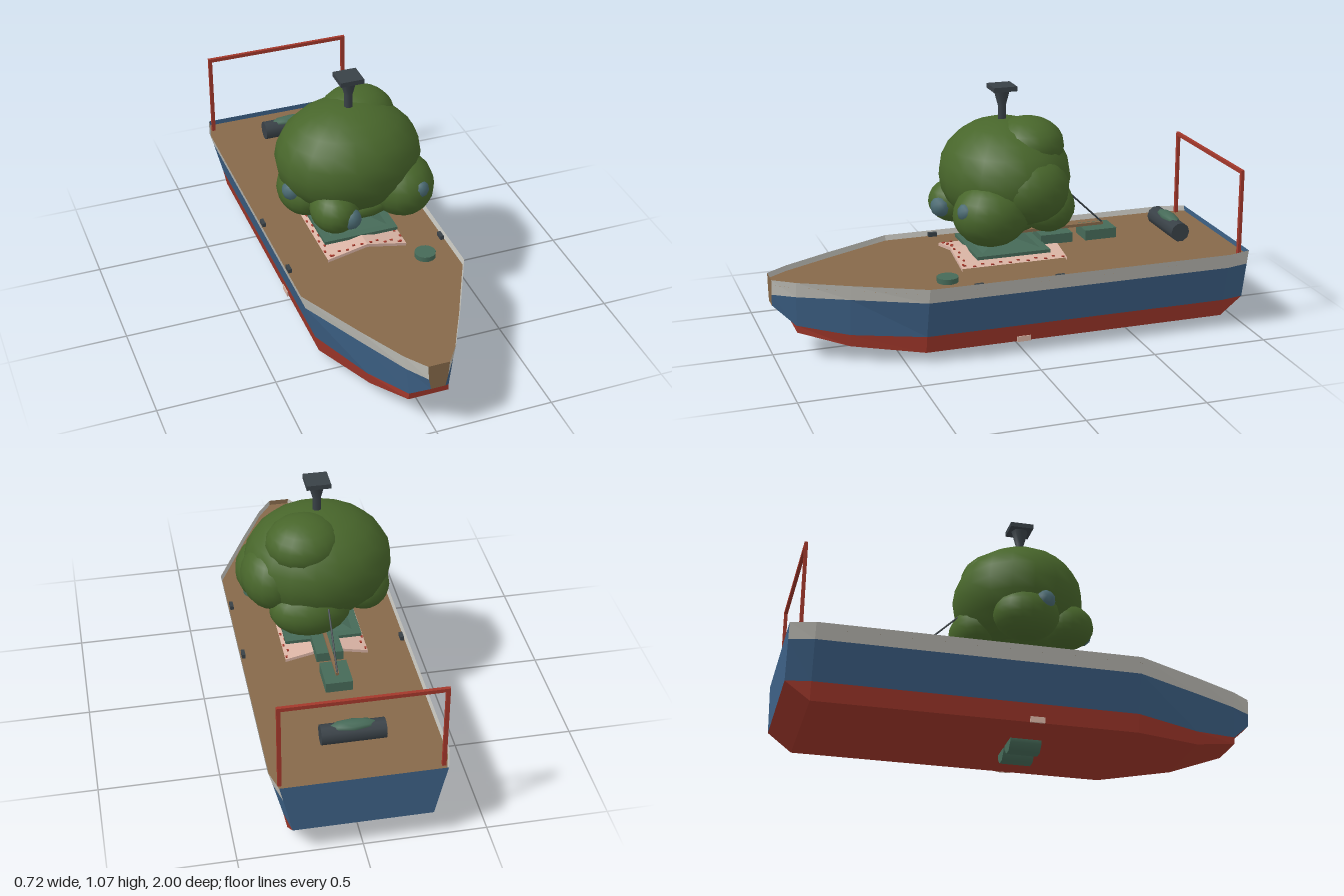
import * as THREE from 'three';

const mat = (name, color, extra = {}) => new THREE.MeshStandardMaterial({ name, color, ...extra });

export function createModel() {
  const root = new THREE.Group();
  root.name = 'boat';
  const two = { side: THREE.DoubleSide };
  const M = {
    deck: mat('deck brown', 0x86694a, two),
    rim: mat('rim grey white', 0xc2c1ba, two),
    blue: mat('hull blue', 0x3d6186, two),
    red: mat('hull red', 0xa3382b, two),
    leaf: mat('foliage green', 0x48662b),
    dark: mat('dark grey', 0x394147),
    green: mat('grey green', 0x466a58),
    pink: mat('mat pink', 0xd9b3a4, two),
    slate: mat('slate blue', 0x4a6a72),
  };

  const add = (name, geo, material, x = 0, y = 0, z = 0, parent = root) => {
    const m = new THREE.Mesh(geo, material);
    m.name = name;
    m.position.set(x, y, z);
    parent.add(m);
    return m;
  };
  const box = (name, w, h, d, material, x, y, z) =>
    add(name, new THREE.BoxGeometry(w, h, d), material, x, y, z);

  // Flat-shaded strip of quads between two rows of points
  const strip = (name, a, b, material) => {
    const p = [];
    for (let i = 0; i < a.length - 1; i++) {
      p.push(...a[i], ...b[i], ...b[i + 1], ...a[i], ...b[i + 1], ...a[i + 1]);
    }
    const g = new THREE.BufferGeometry();
    g.setAttribute('position', new THREE.Float32BufferAttribute(p, 3));
    g.computeVertexNormals();
    return add(name, g, material);
  };

  // Hull stations: z, then half width and height at keel, waterline, stripe and rim
  const stations = [
    [-1, 0.28, 0.12, 0.28, 0.12, 0.315, 0.28, 0.33, 0.345],
    [-0.9, 0.285, 0.045, 0.3, 0.12, 0.34, 0.28, 0.358, 0.345],
    [0.42, 0.285, 0.045, 0.3, 0.12, 0.34, 0.28, 0.358, 0.345],
    [0.71, 0.17, 0.067, 0.18, 0.12, 0.2, 0.28, 0.215, 0.345],
    [0.91, 0.085, 0.12, 0.085, 0.15, 0.1, 0.28, 0.11, 0.345],
    [0.912, 0.084, 0.15, 0.084, 0.15, 0.099, 0.28, 0.109, 0.345],
    [1, 0.03, 0.23, 0.03, 0.23, 0.04, 0.28, 0.045, 0.345],
  ];
  const row = (level, s) => stations.map(t => [s * t[1 + 2 * level], t[2 + 2 * level], t[0]]);
  const bands = [['lowerHull', M.red], ['upperHull', M.blue], ['bulwark', M.rim]];
  bands.forEach(([name, m], k) => {
    strip(name + 'Left', row(k, 1), row(k + 1, 1), m);
    strip(name + 'Right', row(k + 1, -1), row(k, -1), m);
  });
  strip('hullBottom', row(0, -1), row(0, 1), M.red);
  const deckRow = s => stations.map(t => [s * (t[5] + (t[7] - t[5]) * 0.65), 0.322, t[0]]);
  strip('deck', deckRow(1), deckRow(-1), M.deck);

  // Stern and bow end faces
  const end = i => [1, 2, 3].map(k => [row(k, 1)[i], row(k, -1)[i]]);
  const sternFace = end(0);
  strip('transom', sternFace.map(e => e[0]), sternFace.map(e => e[1]), M.blue);
  const bowFace = end(stations.length - 1);
  strip('bowPlate', bowFace.map(e => e[1]), bowFace.map(e => e[0]), M.deck);

  // Stern frame
  for (const s of [-1, 1]) box('framePost', 0.016, 0.38, 0.014, M.red, s * 0.322, 0.512, -0.955);
  box('frameBar', 0.66, 0.016, 0.014, M.red, 0, 0.695, -0.955);

  // Drum with a lens-shaped cover
  const drum = add('drum', new THREE.CylinderGeometry(0.042, 0.042, 0.26, 10).rotateZ(Math.PI / 2), M.dark, 0, 0.386, -0.77);
  drum.material.flatShading = false;
  add('drumCover', new THREE.SphereGeometry(1, 8, 6).scale(0.1, 0.022, 0.032), M.green, 0, 0.417, -0.77);

  // Patterned mat with a low ridge
  const matRow = z => [[-0.175, 0.348, z], [0, 0.386, z], [0.175, 0.348, z]];
  strip('mat', matRow(0.23), matRow(-0.23), M.pink);
  for (const z of [0.23, -0.23]) {
    strip('matEnd', [[-0.175, 0.348, z], [0, 0.386, z], [0.175, 0.348, z]],
      [[-0.175, 0.335, z], [0, 0.372, z], [0.175, 0.335, z]], M.pink);
  }
  for (const s of [-1, 1]) {
    for (let i = 0; i < 12; i++) {
      const x = s * (0.168 - (i % 2) * 0.012);
      box('matDot', 0.008, 0.004, 0.012, M.red, x, 0.388 - Math.abs(x) * 0.217, -0.215 + i * 0.039);
    }
    for (let i = 0; i < 5; i++) {
      const x = 0.02 + i * 0.032;
      box('matDot', 0.012, 0.004, 0.008, M.red, s * x, 0.388 - x * 0.217, 0.218 - (i % 2) * 0.012);
    }
  }

  // Stepped base under the trunk
  box('baseSlab', 0.325, 0.014, 0.32, M.green, 0, 0.381, 0);
  const pyramid = (name, top, bottom, h, y) =>
    add(name, new THREE.CylinderGeometry(top * Math.SQRT2, bottom * Math.SQRT2, h, 4).rotateY(Math.PI / 4).toNonIndexed(), M.green, 0, y, 0)
      .geometry.computeVertexNormals();
  pyramid('baseStep', 0.04, 0.13, 0.026, 0.4);

  // Trunk with a flared top and square cap
  const trunk = [[0.04, 0.4], [0.022, 0.43], [0.018, 0.5], [0.018, 0.985], [0.036, 1.05]]
    .map(p => new THREE.Vector2(...p));
  add('trunk', new THREE.LatheGeometry(trunk, 8), M.dark);
  box('trunkCap', 0.1, 0.02, 0.1, M.dark, 0, 1.06, 0);

  // Foliage: centre and radii of each overlapping mass
  const foliage = new THREE.Group();
  foliage.name = 'foliage';
  root.add(foliage);
  const masses = [
    [0, 0.695, -0.01, 0.31, 0.235, 0.275],
    [0.07, 0.83, -0.09, 0.16, 0.115, 0.15],
    [-0.125, 0.555, 0.17, 0.1, 0.095, 0.115],
    [0.19, 0.58, 0.11, 0.14, 0.135, 0.16],
    [-0.19, 0.56, -0.02, 0.115, 0.11, 0.14],
    [0.06, 0.56, -0.17, 0.17, 0.115, 0.12],
    [0.2, 0.67, -0.06, 0.13, 0.14, 0.16],
    [0.02, 0.52, 0.02, 0.18, 0.075, 0.18],
  ];
  masses.forEach(([x, y, z, a, b, c], k) => {
    const g = new THREE.SphereGeometry(1, 18, 12).rotateY(k * 0.7);
    add('foliageMass', g.scale(a, b, c), M.leaf, x, y, z, foliage);
  });
  // Slate patches poking through the leaves
  for (const [x, y, z, r] of [[-0.08, 0.545, 0.245, 0.046], [0.23, 0.61, 0.227, 0.04], [-0.262, 0.6, 0.04, 0.045]]) {
    add('leafPatch', new THREE.IcosahedronGeometry(r, 1), M.slate, x, y, z, foliage);
  }

  // Boom, hanging boxes and stay line
  box('boom', 0.014, 0.012, 0.46, M.deck, 0, 0.424, -0.228);
  box('rearBox', 0.112, 0.044, 0.142, M.green, 0, 0.392, -0.43);
  box('frontBox', 0.112, 0.042, 0.142, M.green, 0, 0.392, -0.228);
  const line = new THREE.LineCurve3(new THREE.Vector3(0, 0.428, -0.455), new THREE.Vector3(0, 0.61, -0.265));
  add('stayLine', new THREE.TubeGeometry(line, 1, 0.004, 5), M.dark);

  // Deck hatch, cleats and side plates
  add('hatch', new THREE.CylinderGeometry(0.045, 0.045, 0.022, 14), M.green, 0.228, 0.334, 0.31);
  for (const s of [-1, 1]) {
    for (const z of [-0.14, 0.21]) box('cleat', 0.015, 0.018, 0.038, M.dark, s * 0.34, 0.332, z);
    box('sidePlate', 0.008, 0.024, 0.06, M.pink, s * 0.289, 0.056, 0);
    // Twin pods under the keel
    add('keelPod', new THREE.CylinderGeometry(0.052, 0.052, 0.13, 8).rotateX(Math.PI / 2).rotateZ(Math.PI / 8), M.green, s * 0.057, 0.048, 0);
  }
  return root;
}
